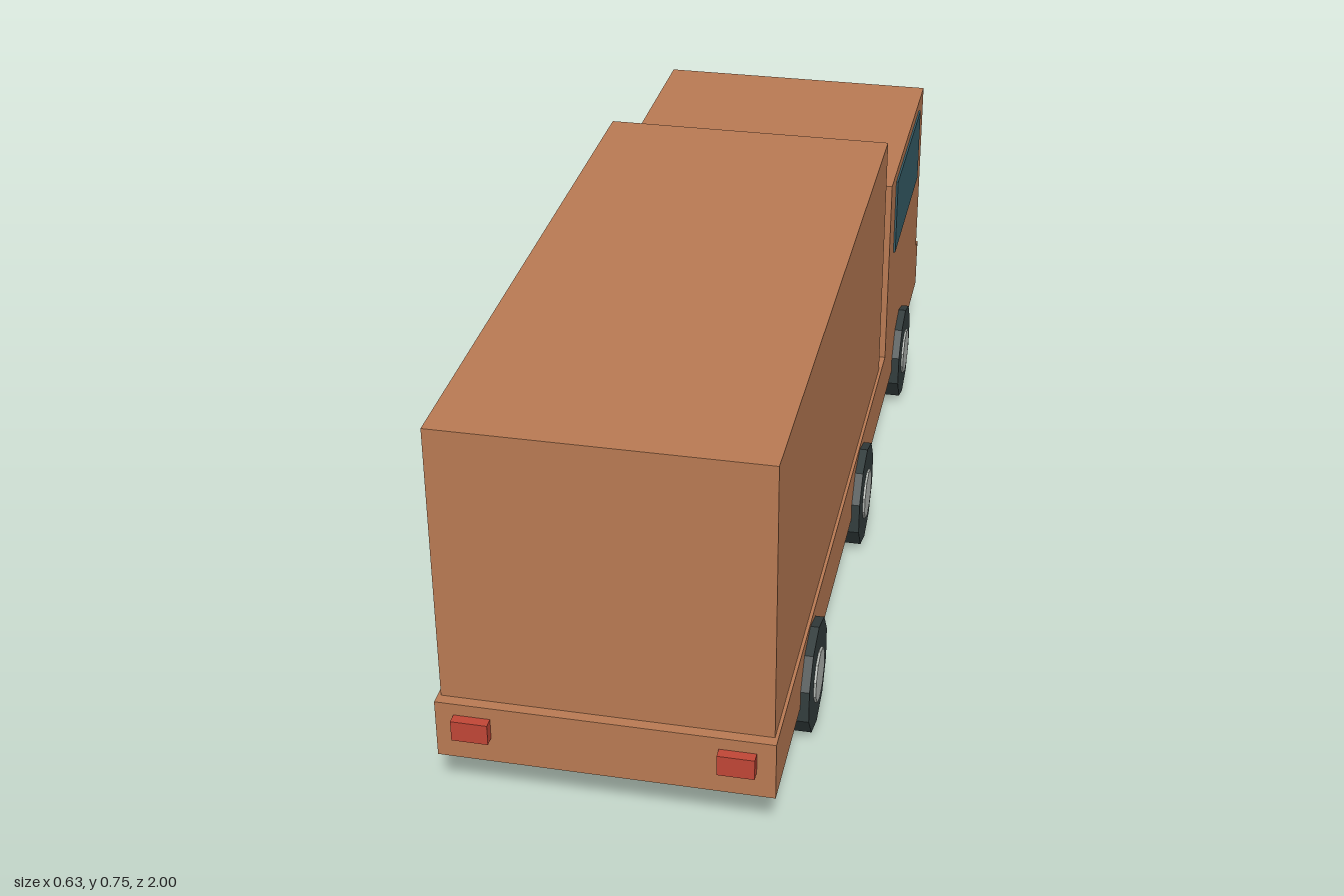
import * as THREE from 'three';

function material(name, color) {
  const m = new THREE.MeshStandardMaterial({ color });
  m.name = name;
  return m;
}

export function createModel() {
  const body = material('body orange', 0xb87a53);
  const glass = material('window blue', 0x355d68);
  const rubber = material('tyre black', 0x333d3d);
  const metal = material('light metal', 0xb0b5b0);
  const red = material('tail light red', 0xc04636);
  const truck = new THREE.Group();
  truck.name = 'truck';

  // Box given by its extents along each axis
  function box(name, mat, [x0, x1], [y0, y1], [z0, z1]) {
    const mesh = new THREE.Mesh(new THREE.BoxGeometry(x1 - x0, y1 - y0, z1 - z0), mat);
    mesh.position.set((x0 + x1) / 2, (y0 + y1) / 2, (z0 + z1) / 2);
    mesh.name = name;
    truck.add(mesh);
  }

  // Main volumes; the cab is at the -z end
  box('chassis', body, [-0.297, 0.297], [0.097, 0.21], [-0.975, 0.981]);
  box('cargoBox', body, [-0.291, 0.291], [0.21, 0.742], [-0.325, 0.961]);
  box('cab', body, [-0.297, 0.297], [0.21, 0.62], [-0.941, -0.379]);

  // Cab end details
  box('windshield', glass, [-0.253, 0.253], [0.43, 0.597], [-0.95, -0.941]);
  box('grille', glass, [-0.128, 0.128], [0.128, 0.172], [-0.984, -0.975]);
  box('bumper', metal, [-0.275, 0.275], [0.1, 0.122], [-1, -0.975]);

  // Mirrored details
  for (const s of [1, -1]) {
    const side = s > 0 ? 'left' : 'right';
    const span = (a, b) => (s > 0 ? [a, b] : [-b, -a]);
    box(side + 'Window', glass, span(0.297, 0.301), [0.43, 0.597], [-0.859, -0.455]);
    box(side + 'Headlight', metal, span(0.158, 0.27), [0.15, 0.193], [-0.986, -0.975]);
    box(side + 'TailLight', red, span(0.199, 0.264), [0.147, 0.187], [0.981, 1]);
  }

  // Ten-sided wheels with a hub on the outer face
  const disc = (radius, width) =>
    new THREE.CylinderGeometry(radius, radius, width, 10).rotateZ(Math.PI / 2).rotateX(Math.PI / 2);
  const tyreGeometry = disc(0.105, 0.046).toNonIndexed();
  tyreGeometry.computeVertexNormals();
  const hubGeometry = disc(0.051, 0.02).toNonIndexed();
  hubGeometry.computeVertexNormals();
  for (const z of [-0.618, 0.007, 0.632]) {
    for (const s of [1, -1]) {
      const wheel = new THREE.Group();
      wheel.name = 'wheel';
      wheel.position.set(s * 0.29, 0.1, z);
      const tyre = new THREE.Mesh(tyreGeometry, rubber);
      tyre.name = 'tyre';
      const hub = new THREE.Mesh(hubGeometry, metal);
      hub.name = 'hub';
      hub.position.x = s * 0.0175;
      wheel.add(tyre, hub);
      truck.add(wheel);
    }
  }
  return truck;
}
